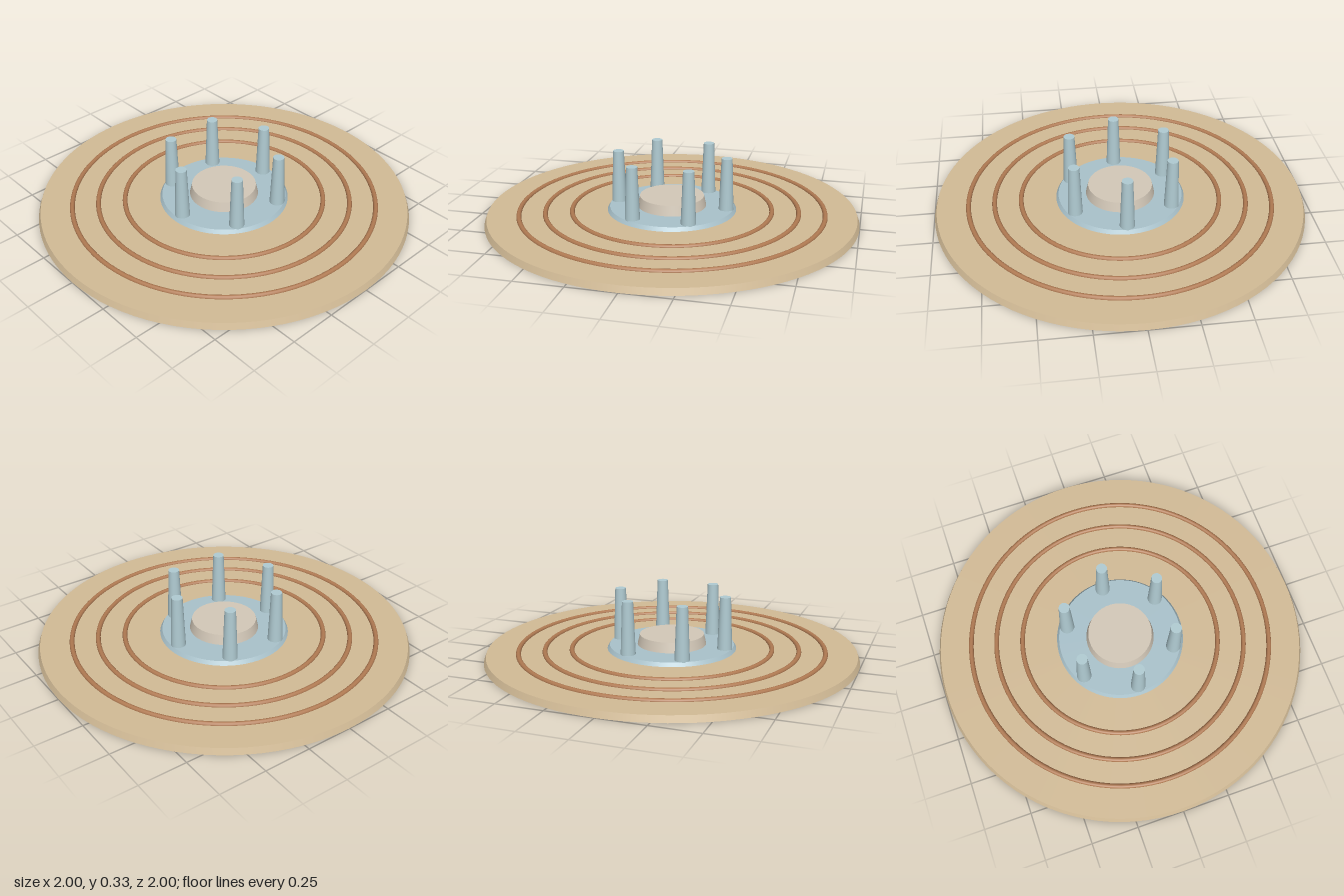
import * as THREE from 'three';

const paint = (color) => new THREE.MeshStandardMaterial({ color });

// Tapered round part standing between heights y0 and y1
function taperedDisc(name, rTop, rBottom, y0, y1, material, sides) {
  const mesh = new THREE.Mesh(
    new THREE.CylinderGeometry(rTop, rBottom, y1 - y0, sides), material);
  mesh.position.y = (y0 + y1) / 2;
  mesh.name = name;
  return mesh;
}

export function createModel() {
  const model = new THREE.Group();
  model.name = 'peggedDisc';
  const tan = paint(0xd2bb96);
  const copper = paint(0xb07a52);
  const blue = paint(0xa9c2cb);
  const pegBlue = paint(0xb0cbd2);
  const stone = paint(0xd3c8b8);

  // Wide base disc
  model.add(taperedDisc('baseDisc', 0.988, 1, 0, 0.032, tan, 96));

  // Raised concentric rings, half sunk into the disc
  for (const [i, radius] of [0.538, 0.681, 0.82].entries()) {
    const ring = new THREE.Mesh(new THREE.TorusGeometry(radius, 0.013, 12, 96), copper);
    ring.rotation.x = -Math.PI / 2;
    ring.position.y = 0.032;
    ring.name = `raisedRing${i + 1}`;
    model.add(ring);
  }

  // Hub plate with a central boss
  model.add(taperedDisc('hubPlate', 0.335, 0.349, 0.03, 0.052, blue, 64));
  model.add(taperedDisc('centreBoss', 0.173, 0.187, 0.045, 0.106, stone, 48));

  // Six tapered pegs around the boss
  const pegs = new THREE.Group();
  pegs.name = 'pegs';
  for (let i = 0; i < 6; i++) {
    const angle = (i * Math.PI) / 3;
    const peg = taperedDisc(`peg${i + 1}`, 0.029, 0.04, 0.045, 0.334, pegBlue, 24);
    peg.position.x = Math.cos(angle) * 0.297;
    peg.position.z = Math.sin(angle) * 0.297;
    pegs.add(peg);
  }
  model.add(pegs);

  return model;
}
